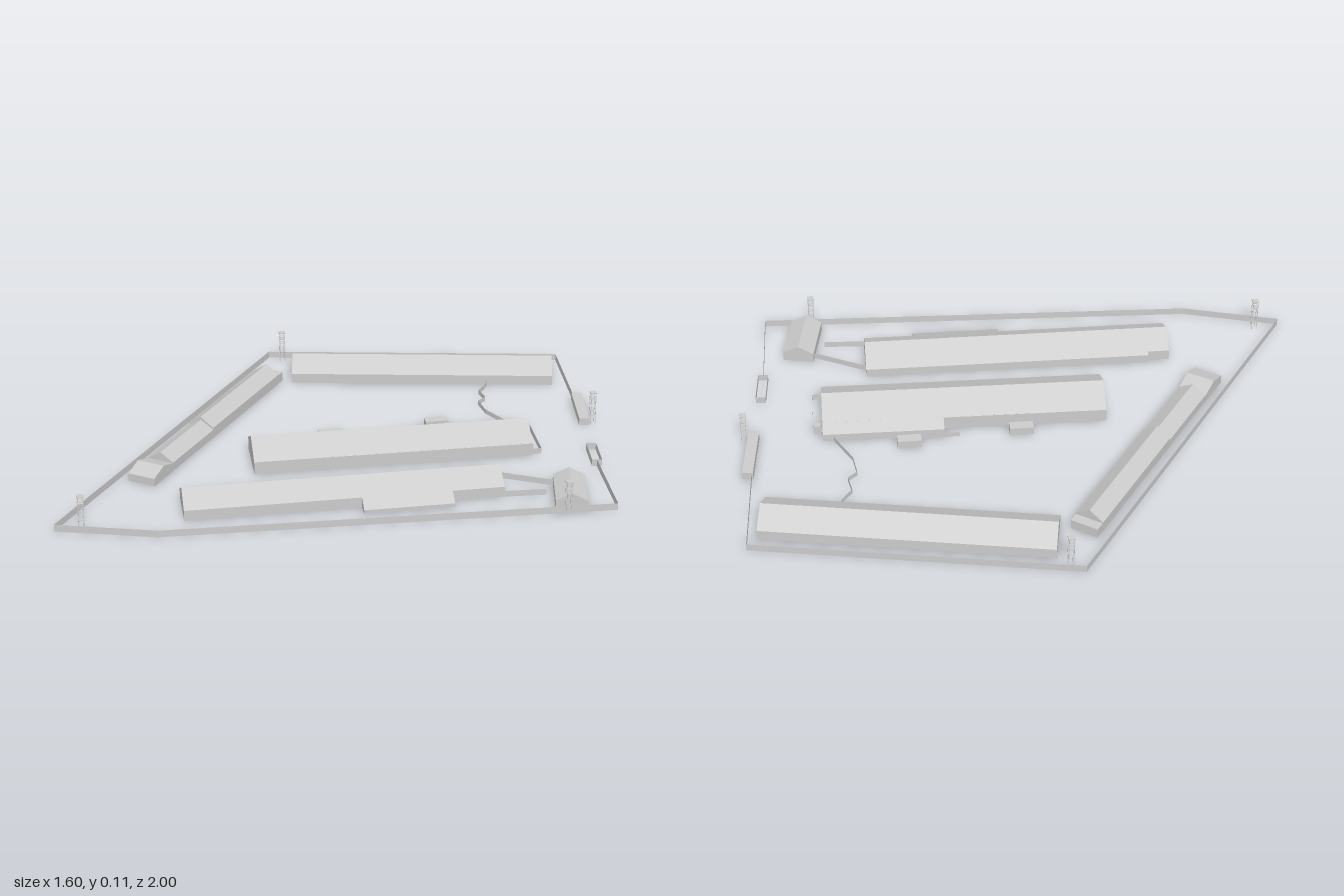
import * as THREE from 'three';

const mat = new THREE.MeshStandardMaterial({ color: 0xcccccc, flatShading: true, side: THREE.DoubleSide });

function meshFrom(name, pos) {
  const g = new THREE.BufferGeometry();
  g.setAttribute('position', new THREE.Float32BufferAttribute(pos, 3));
  g.computeVertexNormals();
  const m = new THREE.Mesh(g, mat);
  m.name = name;
  return m;
}

// Bottomless shell: a [z, y] profile swept along x, closed at both ends
function shell(name, profile, x0, x1) {
  const pos = [];
  const quad = (a, b, c, d) => pos.push(...a, ...b, ...c, ...a, ...c, ...d);
  for (let i = 0; i < profile.length - 1; i++) {
    const [z0, y0] = profile[i], [z1, y1] = profile[i + 1];
    quad([x0, y0, z0], [x0, y0, z0], [x0, y0, z0], [x0, y0, z0]);
    pos.length -= 18;
    quad([x1, y0, z0], [x0, y0, z0], [x0, y1, z1], [x1, y1, z1]);
    if (i > 0) {
      const [za, ya] = profile[0];
      pos.push(x1, ya, za, x1, y0, z0, x1, y1, z1);
      pos.push(x0, ya, za, x0, y1, z1, x0, y0, z0);
    }
  }
  return meshFrom(name, pos);
}

const gable = (half, eave, ridge) =>
  [[-half, 0], [-half, eave], [0, ridge], [half, eave], [half, 0]];
const flat = (half, h) => [[-half, 0], [-half, h], [half, h], [half, 0]];

// Thin upright strip through [x, z] points
function fence(name, pts, h) {
  const pos = [];
  for (let i = 0; i < pts.length - 1; i++) {
    const [ax, az] = pts[i], [bx, bz] = pts[i + 1];
    pos.push(ax, 0, az, bx, 0, bz, bx, h, bz, ax, 0, az, bx, h, bz, ax, h, az);
  }
  return meshFrom(name, pos);
}

function box(name, w, h, d, x, y, z) {
  const m = new THREE.Mesh(new THREE.BoxGeometry(w, h, d), mat);
  m.name = name;
  m.position.set(x, y, z);
  return m;
}

// Group at (x, z) whose local +x points along (dx, dz)
function site(name, x, z, dx, dz, ...parts) {
  const g = new THREE.Group();
  g.name = name;
  g.position.set(x, 0, z);
  g.rotation.y = Math.atan2(-dz, dx);
  g.add(...parts);
  return g;
}

// Watchtower: posts, braces, platform, open cabin and roof
function tower(x, z) {
  const g = site('watchtower', x, z, 0.8, 0.6);
  const r = 0.008, t = 0.0015;
  for (const sx of [-1, 1]) for (const sz of [-1, 1])
    g.add(box('post', t, 0.108, t, sx * r, 0.054, sz * r));
  for (const y of [0.03, 0.05, 0.07, 0.092]) for (const s of [-1, 1]) {
    g.add(box('brace', 2 * r, t, t, 0, y, s * r));
    g.add(box('brace', t, t, 2 * r, s * r, y, 0));
  }
  g.add(box('platform', 0.019, 0.002, 0.019, 0, 0.085, 0));
  g.add(box('towerRoof', 0.021, 0.003, 0.021, 0, 0.1085, 0));
  return g;
}

export function createModel() {
  const model = new THREE.Group();
  model.name = 'walledCompound';

  // Perimeter wall, open at the gate
  model.add(fence('perimeterWall', [[0.24, -0.76], [0, -1], [-0.8, -0.38], [-0.45, 1],
    [-0.18, 0.83], [0.8, -0.19], [0.58, -0.4]], 0.023));

  // North hall
  model.add(site('northHall', -0.292, -0.608, 0.79, -0.612,
    shell('hall', gable(0.079, 0.033, 0.075), -0.449, 0.449)));

  // Central hall with a wider north-west aisle
  const central = site('centralHall', 0.0025, -0.063, 0.609, -0.667,
    shell('hall', gable(0.095, 0.043, 0.09), -0.4515, 0.4515),
    shell('aisle', [[-0.132, 0], [-0.132, 0.025], [-0.095, 0.043], [-0.095, 0]], 0.068, 0.4515));
  for (let i = 0; i < 18; i++)
    central.add(box('roofBeam', 0.005, 0.005, 0.188, -0.2 + i * 0.036, 0.042, 0));
  model.add(central);

  // South hall with side bays and cross partitions
  const south = site('southHall', 0.0845, 0.278, 0.667, -0.746,
    shell('hall', gable(0.078, 0.034, 0.075), -0.5, 0.5),
    shell('westAisle', [[-0.09, 0], [-0.09, 0.028], [-0.078, 0.034], [-0.078, 0]], -0.43, 0.5),
    shell('eastBay', [[0.078, 0], [0.078, 0.034], [0.121, 0.012], [0.121, 0]], 0.05, 0.335));
  for (const x of [-0.25, 0, 0.25]) south.add(box('roofBeam', 0.005, 0.005, 0.155, x, 0.033, 0));
  model.add(south);

  // Stepped west range ending in a cross gable
  const end = site('crossGable', 0.381, 0, 0, 1,
    shell('endHouse', gable(0.061, 0.026, 0.045), -0.047, 0.047));
  model.add(site('westRange', -0.573, 0.176, 0.24, 0.971,
    shell('northPorch', flat(0.045, 0.032), -0.4425, -0.41),
    shell('northSection', gable(0.046, 0.035, 0.066), -0.41, 0.055),
    shell('southSection', gable(0.046, 0.028, 0.055), 0.055, 0.32), end));

  // Guard house by the east wall
  model.add(site('guardHouse', 0.632, -0.175, 0.614, 0.789,
    shell('house', gable(0.05, 0.03, 0.055), -0.09, 0.09)));

  // Gate buildings: flat-roofed block and roofless enclosure
  model.add(site('gateBlock', 0.311, -0.7, 0.67, 0.742,
    shell('block', flat(0.017, 0.024), -0.1, 0.1)));
  model.add(site('gateEnclosure', 0.54, -0.443, 0.69, 0.724,
    fence('enclosure', [[-0.06, -0.016], [0.06, -0.016], [0.06, 0.016], [-0.06, 0.016], [-0.06, -0.016]], 0.023)));

  // Small annexes beside the central hall, each with a linking fence
  for (const [x, z] of [[0, -0.31], [-0.212, -0.02]])
    model.add(site('annex', x, z, 0.655, -0.755,
      shell('shed', flat(0.017, 0.026), -0.038, 0.038),
      fence('annexFence', [[-0.02, 0.017], [-0.02, 0.05]], 0.018)));

  // Yard fences
  model.add(fence('windingFence', [[-0.075, -0.7], [-0.05, -0.65], [-0.04, -0.6], [0.01, -0.57],
    [0.01, -0.53], [0.07, -0.49], [0.11, -0.48], [0.19, -0.46]], 0.016));
  model.add(fence('southFence', [[0.47, -0.035], [0.57, -0.135]], 0.02));
  model.add(fence('northFence', [[0.37, -0.13], [0.55, -0.2]], 0.02));
  model.add(fence('annexYardFence', [[-0.085, -0.17], [-0.03, -0.24], [0, -0.27]], 0.016));

  // Fenced entrance at the north-east end of the central hall
  model.add(site('hallEntrance', 0.318, -0.408, 0.74, 0.672,
    fence('entranceFence', [[-0.085, 0.02], [-0.085, -0.014], [0.085, -0.014], [0.085, 0.02]], 0.02),
    box('entranceHut', 0.02, 0.03, 0.02, -0.085, 0.015, 0)));

  for (const [x, z] of [[-0.746, -0.39], [-0.402, 0.931], [0.693, -0.077], [0.386, -0.66]])
    model.add(tower(x, z));

  return model;
}
